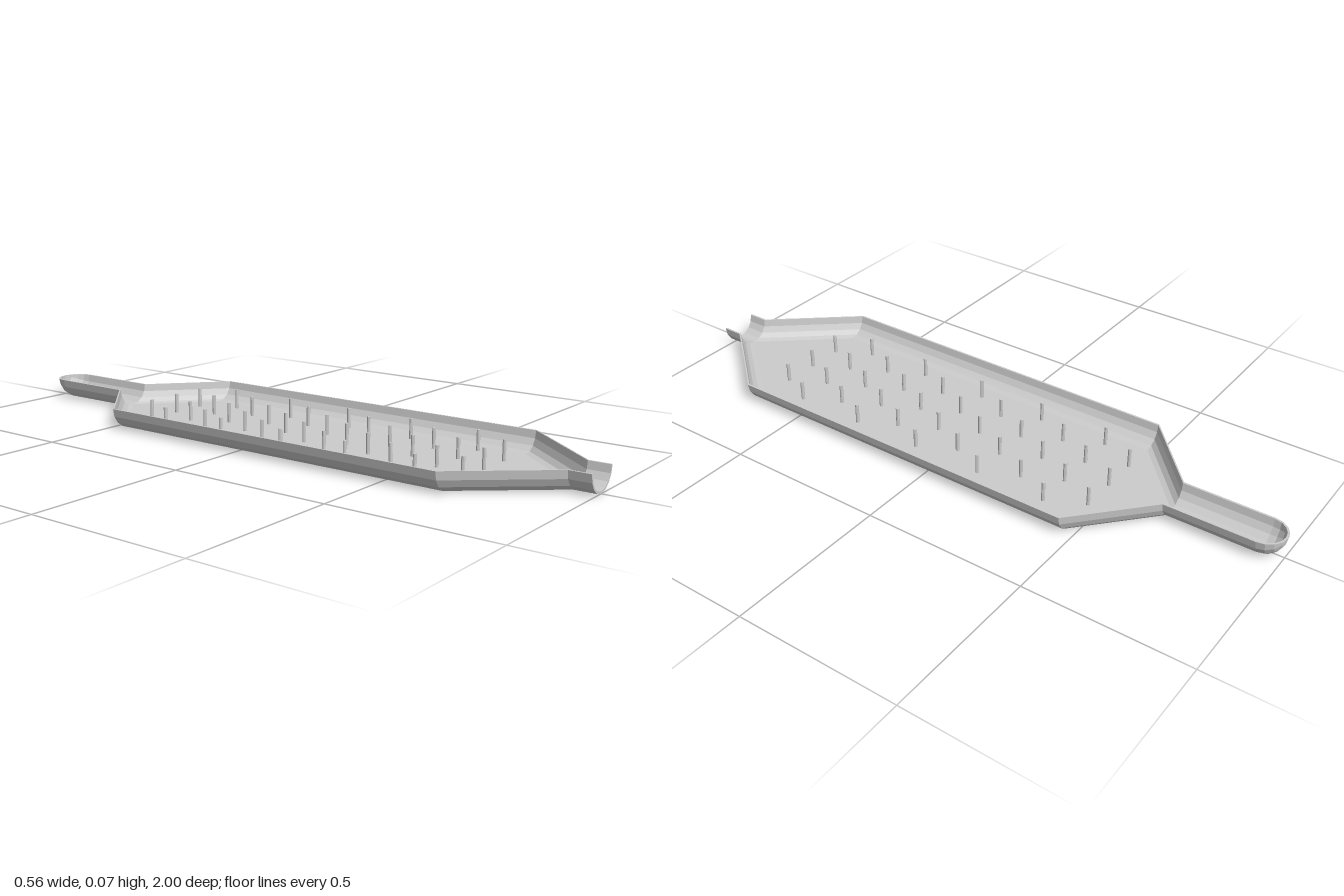
import * as THREE from 'three';

const TOP = 0.065;     // rim height
const R = 0.0625;      // radius of the rounded wall and spouts
const WALL = 0.006;    // wall thickness
const STEPS = 4;       // facets per quarter round

// Half of a loop: two quarter rounds joined by a flat floor, from +x rim to -x rim
function channel(z, flat, rx, ry) {
  const pts = [];
  for (const side of [1, -1]) {
    for (let i = 0; i <= STEPS; i++) {
      const a = (Math.PI / 2) * (side > 0 ? i : STEPS - i) / STEPS;
      pts.push([side * (flat + rx * Math.cos(a)), TOP - ry * Math.sin(a), z]);
    }
  }
  return pts;
}

// Closed wall section: outer surface out, inner surface back
function section(z, flat, scale = 1, zInner = z) {
  const outer = channel(z, flat, R * scale, TOP * scale);
  const inner = channel(zInner, flat, (R - WALL) * scale, (TOP - WALL) * scale);
  return [...outer, ...inner.reverse()];
}

function trayGeometry() {
  const wide = 0.278 - R;
  const domeZ = -1 + R;
  const loops = [
    section(1, 0), section(0.935, 0),             // open front spout
    section(0.68, wide), section(-0.47, wide),    // wide body
    section(-0.665, 0),                           // start of the rear channel
  ];
  // Rounded rear end
  for (let i = 0; i <= STEPS; i++) {
    const a = (Math.PI / 2) * i / STEPS;
    loops.push(section(domeZ - R * Math.sin(a), 0, Math.cos(a), domeZ - (R - WALL) * Math.sin(a)));
  }
  const n = loops[0].length;
  const index = [];
  for (let i = 0; i < loops.length - 1; i++) {
    for (let j = 0; j < n; j++) {
      const a = i * n + j, b = i * n + (j + 1) % n;
      index.push(a, b, a + n, b, b + n, a + n);
    }
  }
  // Lip of the open front end
  for (let j = 0; j < n / 2 - 1; j++) {
    const k = n - 1 - j;
    index.push(j, k, j + 1, j + 1, k, k - 1);
  }
  const indexed = new THREE.BufferGeometry();
  indexed.setAttribute('position', new THREE.Float32BufferAttribute(loops.flat(2), 3));
  indexed.setIndex(index);
  const geometry = indexed.toNonIndexed();
  geometry.computeVertexNormals();
  return geometry;
}

export function createModel() {
  const model = new THREE.Group();
  model.name = 'pinnedTray';
  const material = new THREE.MeshStandardMaterial({ color: 0xcccccc, flatShading: true });

  const tray = new THREE.Mesh(trayGeometry(), material);
  tray.name = 'tray';
  model.add(tray);

  // Staggered rows of thin pins standing on the floor
  const pins = new THREE.Group();
  pins.name = 'pins';
  const pitch = 0.113, bottom = 0.004, height = 0.068 - bottom;
  const pinGeometry = new THREE.CylinderGeometry(0.0055, 0.0055, height, 8);
  for (let row = 0; row < 11; row++) {
    const count = row % 2 ? 4 : 3;
    for (let i = 0; i < count; i++) {
      const pin = new THREE.Mesh(pinGeometry, material);
      pin.name = 'pin';
      pin.position.set((i - (count - 1) / 2) * pitch, bottom + height / 2, -0.465 + row * pitch);
      pins.add(pin);
    }
  }
  model.add(pins);
  return model;
}
